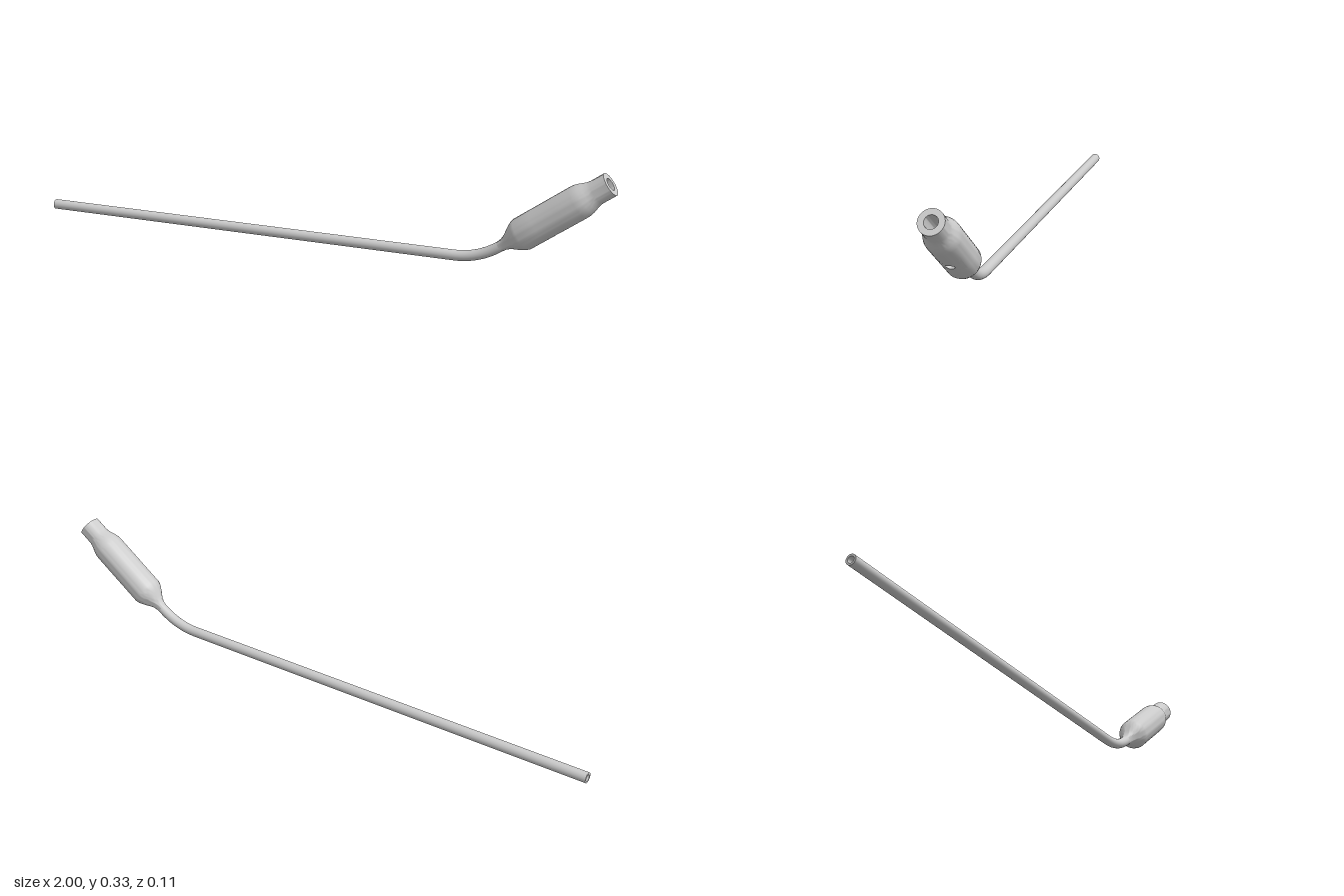
import * as THREE from 'three';
import { mergeGeometries, toCreasedNormals } from 'three/addons/utils/BufferGeometryUtils.js';

const TILT = THREE.MathUtils.degToRad(35); // rise of the handle
const ROD_R = 0.017, ROD_BORE = 0.0105;
const BODY_R = 0.053, BORE_R = 0.02, VENT_R = 0.014;
const ELBOW = new THREE.Vector3(0.583, ROD_R, 0);
const VENT_S = 0.267, HALF = BODY_R * Math.PI / 4; // vent position and patch half size

const lathe = (pts, start = 0, length = Math.PI * 2) =>
  new THREE.LatheGeometry(pts.map(([r, s]) => new THREE.Vector2(r, s)),
    Math.round(48 * length / (Math.PI * 2)), start, length);

// Quarter of the barrel wall with a round vent: loops run from the bore, to the rim, to a square border
function ventPatch() {
  const N = 48, pos = [], index = [];
  const square = (i) => {
    const side = Math.floor(i / 12) % 4, f = (i % 12) / 6 - 1;
    return [[1, f], [-f, 1], [-1, -f], [f, -1]][side];
  };
  const loops = [[BORE_R * 0.9, 0], [BODY_R, 0], [BODY_R, 0.33], [BODY_R, 0.66], [BODY_R, 1]];
  for (const [r, t] of loops) {
    for (let i = 0; i <= N; i++) {
      const [a, b] = square(i), len = Math.hypot(a, b);
      const u = THREE.MathUtils.lerp(VENT_R * a / len, HALF * a, t);
      const v = THREE.MathUtils.lerp(VENT_R * b / len, HALF * b, t);
      // u wraps round the barrel; the shaft below the rim stays straight
      const z = -BODY_R * Math.sin(u / BODY_R);
      const x = r === BODY_R ? BODY_R * Math.cos(u / BODY_R) : r;
      pos.push(x, VENT_S + v, z);
    }
  }
  for (let j = 0; j < loops.length - 1; j++) {
    for (let i = 0; i < N; i++) {
      const a = j * (N + 1) + i, b = a + N + 1;
      index.push(a, b, b + 1, a, b + 1, a + 1);
    }
  }
  const g = new THREE.BufferGeometry();
  g.setAttribute('position', new THREE.Float32BufferAttribute(pos, 3));
  g.setIndex(index);
  g.computeVertexNormals();
  return g;
}

export function createModel() {
  const model = new THREE.Group();
  model.name = 'suctionTube';
  const grey = new THREE.MeshStandardMaterial({ color: 0xcccccc });
  const inside = new THREE.MeshStandardMaterial({ color: 0xcccccc, side: THREE.BackSide });
  const add = (name, geometry, material = grey) => {
    const mesh = new THREE.Mesh(geometry, material);
    mesh.name = name;
    model.add(mesh);
    return mesh;
  };

  // Thin rod: long straight run, smooth bend, short run into the handle
  const along = (s) => ELBOW.clone().add(new THREE.Vector3(Math.cos(TILT), Math.sin(TILT), 0).multiplyScalar(s));
  const bendStart = new THREE.Vector3(0.5, ROD_R, 0);
  const path = new THREE.CurvePath();
  path.add(new THREE.LineCurve3(new THREE.Vector3(-1, ROD_R, 0), bendStart));
  path.add(new THREE.QuadraticBezierCurve3(bendStart, ELBOW, along(0.083)));
  path.add(new THREE.LineCurve3(along(0.083), along(0.17)));
  add('rod', new THREE.TubeGeometry(path, 150, ROD_R, 32));
  add('rodBore', new THREE.TubeGeometry(path, 150, ROD_BORE, 24), inside);
  add('rodEnd', new THREE.RingGeometry(ROD_BORE, ROD_R, 32).rotateY(-Math.PI / 2).translate(-1, ROD_R, 0));

  // Handle: flared neck, barrel with a vent underneath, stepped nozzle and inner bore
  const low = VENT_S - HALF, high = VENT_S + HALF;
  const parts = [
    lathe([[ROD_R, 0.08], [0.0185, 0.095], [0.023, 0.108], [0.03, 0.12], [0.038, 0.132],
      [0.045, 0.144], [0.05, 0.154], [BODY_R, 0.165], [BODY_R, low]]),
    lathe([[BODY_R, low], [BODY_R, high]], Math.PI * 0.75, Math.PI * 1.5),
    ventPatch(),
    lathe([[BODY_R, high], [BODY_R, 0.37], [0.052, 0.383], [0.049, 0.396], [0.044, 0.41],
      [0.04, 0.422], [0.038, 0.434], [0.038, 0.483], [BORE_R, 0.483], [BORE_R, 0.185], [ROD_BORE, 0.17]]),
  ];
  parts.forEach((g) => g.deleteAttribute('uv'));
  const handle = add('handle', toCreasedNormals(mergeGeometries(parts), 0.7));
  handle.position.copy(ELBOW);
  handle.rotation.z = TILT - Math.PI / 2;
  return model;
}
